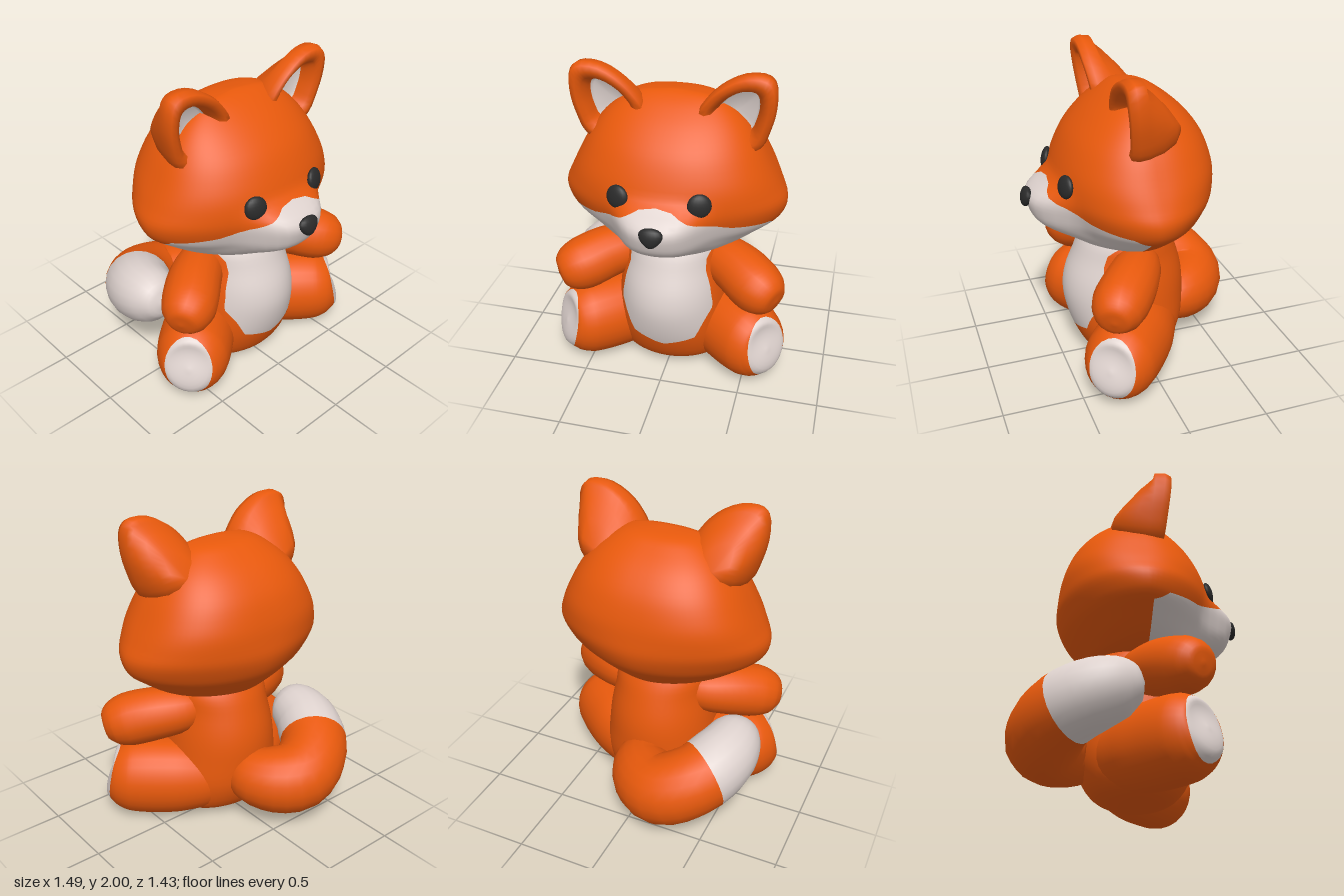
import * as THREE from 'three';
import { mergeVertices } from 'three/addons/utils/BufferGeometryUtils.js';

const V = (x, y, z = 0) => new THREE.Vector3(x, y, z);
const material = (name, color) => Object.assign(new THREE.MeshStandardMaterial({ color }), { name });

// Smooth closed-ring surface from point(u, v); side = -1 mirrors it across x.
function surface(rows, cols, side, point) {
  const pos = [], idx = [];
  for (let i = 0; i <= rows; i++) {
    for (let j = 0; j < cols; j++) {
      const p = point(i / rows, j / cols);
      pos.push(p.x * side, p.y, p.z);
      if (i === rows) continue;
      const a = i * cols + j, b = i * cols + (j + 1) % cols, c = a + cols, d = b + cols;
      if (side > 0) idx.push(a, b, c, b, d, c);
      else idx.push(a, c, b, b, c, d);
    }
  }
  let geo = new THREE.BufferGeometry();
  geo.setAttribute('position', new THREE.Float32BufferAttribute(pos, 3));
  geo.setIndex(idx);
  geo = mergeVertices(geo, 1e-4);
  geo.computeVertexNormals();
  return geo;
}

// Cuts a surface along f = 0, keeping smooth normals; returns [f > 0 part, f < 0 part].
function split(geometry, f) {
  const g = geometry.toNonIndexed(), P = g.attributes.position, N = g.attributes.normal;
  return [1, -1].map((sign) => {
    const pos = [], nor = [];
    for (let t = 0; t < P.count; t += 3) {
      const tri = [0, 1, 2].map((k) => {
        const p = V().fromBufferAttribute(P, t + k);
        return { p, n: V().fromBufferAttribute(N, t + k), d: sign * f(p) };
      });
      const poly = [];
      tri.forEach((a, k) => {
        const b = tri[(k + 1) % 3];
        if (a.d >= 0) poly.push(a);
        if ((a.d >= 0) !== (b.d >= 0)) {
          const s = a.d / (a.d - b.d);
          poly.push({ p: a.p.clone().lerp(b.p, s), n: a.n.clone().lerp(b.n, s).normalize() });
        }
      });
      for (let k = 1; k + 1 < poly.length; k++) {
        for (const q of [poly[0], poly[k], poly[k + 1]]) { pos.push(...q.p); nor.push(...q.n); }
      }
    }
    const out = new THREE.BufferGeometry();
    out.setAttribute('position', new THREE.Float32BufferAttribute(pos, 3));
    out.setAttribute('normal', new THREE.Float32BufferAttribute(nor, 3));
    return out;
  });
}

// Upright shell from rows of [y, half width, back z, front z]; powers(y) gives [front, back] roundness.
function shell(table, rows, cols, powers, bulge = () => 0) {
  const zc = 0.06;
  const wide = new THREE.CatmullRomCurve3(table.map((r) => V(r[1], r[0], r[2])), false, 'catmullrom');
  const deep = new THREE.CatmullRomCurve3(table.map((r) => V(r[3], r[0])), false, 'catmullrom');
  return surface(rows, cols, 1, (u, v) => {
    const a = v * Math.PI * 2, c = Math.cos(a), s = Math.sin(a);
    const w = wide.getPoint(u), front = deep.getPoint(u).x;
    const e = 2 / powers(w.y)[c > 0 ? 0 : 1];
    const x = w.x * Math.sign(s) * Math.abs(s) ** e;
    const reach = Math.abs(c) ** e;
    const z = c > 0 ? zc + (front - zc) * reach + bulge(x, w.y) * Math.min(1, c * 2) : zc + (w.z - zc) * reach;
    return V(x, w.y, z);
  });
}

// Rounded limb through rows of [x, y, z, radius].
function limb(table, rows, cols, side = 1, tall = 1) {
  const path = new THREE.CatmullRomCurve3(table.map((r) => V(r[0], r[1], r[2])));
  const radius = new THREE.SplineCurve(table.map((r) => new THREE.Vector2(r[3], 0)));
  return surface(rows, cols, side, (u, v) => {
    const t = path.getTangent(u), s = V(0, 1, 0).cross(t).normalize(), b = t.clone().cross(s);
    const r = Math.max(0, radius.getPoint(u).x), a = v * Math.PI * 2;
    return path.getPoint(u).addScaledVector(s, r * Math.cos(a)).addScaledVector(b, r * tall * Math.sin(a));
  });
}

// Piecewise-linear lookup in [key, value] pairs.
function lookup(pairs, k) {
  for (let i = 1; i < pairs.length; i++) {
    const [a, va] = pairs[i - 1], [b, vb] = pairs[i];
    if (k <= b) return THREE.MathUtils.lerp(va, vb, THREE.MathUtils.clamp((k - a) / (b - a), 0, 1));
  }
  return pairs[pairs.length - 1][1];
}

export function createModel() {
  const model = new THREE.Group();
  const orange = material('orange fur', 0xe8590c);
  const white = material('pale fur', 0xded2ce);
  const black = material('dark eyes and nose', 0x2a2a2a);
  const add = (name, geo, mat) => {
    const mesh = new THREE.Mesh(geo, mat);
    mesh.name = name;
    model.add(mesh);
    return mesh;
  };
  const addTwoTone = (name, paleName, geo, f) => {
    const [pale, fur] = split(geo, f);
    add(name, fur, orange);
    add(paleName, pale, white);
  };

  // Head, fuller towards the top, with a muzzle bulge and pale lower face
  const head = shell([
    [0.855, 0, 0.06, 0.06], [0.862, 0.2, -0.08, 0.33], [0.898, 0.36, -0.21, 0.4], [0.945, 0.46, -0.27, 0.44],
    [1.02, 0.565, -0.345, 0.47], [1.1, 0.66, -0.405, 0.505], [1.2, 0.69, -0.44, 0.53], [1.3, 0.65, -0.438, 0.525],
    [1.42, 0.59, -0.42, 0.49], [1.56, 0.515, -0.37, 0.42], [1.68, 0.425, -0.28, 0.315], [1.77, 0.315, -0.17, 0.205],
    [1.82, 0.2, -0.08, 0.12], [1.84, 0, 0.06, 0.06],
  ], 52, 80, (y) => {
    const k = THREE.MathUtils.smoothstep(y, 1.1, 1.45);
    return [1.7 + 0.4 * k, 1.75 + 0.7 * k];
  }, (x, y) => 0.16 * Math.exp(-((x / 0.245) ** 4) - ((y - 1.125) / 0.16) ** 4));
  const cheekLine = [[0, 1.31], [0.1, 1.295], [0.22, 1.23], [0.4, 1.15], [0.61, 1.11], [0.75, 1.09]];
  addTwoTone('head', 'lowerFace', head, (p) => Math.min(
    p.z - 0.1, 0.615 - Math.abs(p.x), lookup(cheekLine, Math.abs(p.x)) - p.y));

  // Body with pale belly
  const body = shell([
    [0.008, 0, 0.06, 0.06], [0.018, 0.22, -0.06, 0.22], [0.08, 0.34, -0.21, 0.33], [0.25, 0.38, -0.3, 0.42],
    [0.45, 0.36, -0.315, 0.47], [0.6, 0.34, -0.305, 0.46], [0.75, 0.31, -0.265, 0.4], [0.88, 0.29, -0.215, 0.34],
    [0.95, 0.2, -0.15, 0.25], [0.96, 0, 0.06, 0.06],
  ], 36, 48, () => [2, 2]);
  const bellyEdge = [[0.2, -0.2], [0.24, 0], [0.3, 0.2], [0.42, 0.25], [0.5, 0.295], [0.65, 0.27], [0.75, 0.24], [0.82, 0.24], [0.9, 0.28]];
  addTwoTone('body', 'belly', body, (p) => Math.min(p.z - 0.05, lookup(bellyEdge, p.y) - Math.abs(p.x)));

  // Tail curling round to the right side, with a pale tip
  const tail = limb([
    [0.02, 0.34, -0.16, 0], [0.01, 0.33, -0.2, 0.15], [-0.05, 0.31, -0.37, 0.205], [-0.22, 0.32, -0.485, 0.225],
    [-0.42, 0.41, -0.415, 0.22], [-0.53, 0.49, -0.24, 0.21], [-0.56, 0.54, -0.07, 0.17], [-0.57, 0.555, 0.02, 0.1],
    [-0.57, 0.56, 0.05, 0],
  ], 32, 20);
  addTwoTone('tail', 'tailTip', tail, (p) => p.z - 0.8 * p.x + 0.35 * (p.y - 0.45));

  // Ear outline, counter-clockwise from the front
  const earEdge = new THREE.CatmullRomCurve3([
    V(0.22, 1.57), V(0.4, 1.49), V(0.525, 1.55), V(0.575, 1.67), V(0.605, 1.81), V(0.595, 1.95),
    V(0.55, 1.995), V(0.43, 1.995), V(0.3, 1.93), V(0.2, 1.83), V(0.15, 1.73),
  ], true);
  // Ear section rows of [outline scale, z]
  const earShell = [[0, -0.105], [0.4, -0.095], [0.68, -0.05], [0.88, 0.035], [0.98, 0.125], [1, 0.185],
    [0.94, 0.225], [0.8, 0.23], [0.65, 0.21], [0.55, 0.15], [0.52, 0.1]];
  const earInside = [[0.54, 0.125], [0.48, 0.1], [0, 0.085]];
  const ear = (rows, side) => surface(rows.length - 1, 28, side, (u, v) => {
    const [s, z] = rows[Math.round(u * (rows.length - 1))];
    const p = V(0.38, 1.75 - 0.06 * (1 - s) * (z < 0.05 ? 1 : 0)).lerp(earEdge.getPoint(v), s);
    // The back thins towards the tip and the front leans back towards the base
    const thin = z < 0.08 ? 0.6 * THREE.MathUtils.clamp((p.y - 1.7) / 0.3, 0, 1) : 0;
    return p.setZ(z + (0.2 - z) * thin + 0.12 * Math.min(0, p.y - 1.9));
  });

  for (const side of [1, -1]) {
    const label = side > 0 ? 'left' : 'right';
    add(label + 'Ear', ear(earShell, side), orange);
    add(label + 'InnerEar', ear(earInside, side), white);

    // Arm
    add(label + 'Arm', limb([
      [0.13, 0.76, 0.02, 0], [0.17, 0.76, 0.03, 0.1], [0.28, 0.745, 0.07, 0.145], [0.43, 0.72, 0.17, 0.168],
      [0.56, 0.68, 0.275, 0.17], [0.64, 0.655, 0.325, 0.14], [0.685, 0.64, 0.35, 0.085], [0.695, 0.637, 0.356, 0],
    ], 28, 18, side), orange);

    // Leg with an upright oval pale sole
    const leg = limb([
      [0.02, 0.25, -0.15, 0], [0.11, 0.255, -0.08, 0.16], [0.27, 0.265, 0.045, 0.222], [0.42, 0.265, 0.17, 0.235],
      [0.55, 0.265, 0.28, 0.225], [0.615, 0.27, 0.335, 0.19], [0.65, 0.275, 0.365, 0.135], [0.661, 0.28, 0.374, 0],
    ], 42, 28, side, 1.1);
    addTwoTone(label + 'Leg', label + 'Sole', leg, (p) => {
      const across = (0.66 * Math.abs(p.x) - 0.75 * p.z - 0.16) / 0.148, up = (p.y - 0.283) / 0.197;
      return Math.min(0.75 * Math.abs(p.x) + 0.66 * p.z - 0.5, 1 - Math.hypot(across, up));
    });

    // Eye
    const eye = add(label + 'Eye', new THREE.SphereGeometry(1, 18, 12), black);
    eye.scale.set(0.07, 0.07, 0.03);
    eye.position.set(0.24 * side, 1.325, 0.497);
    eye.rotation.set(-0.2, 0.3 * side, 0);
  }

  // Nose, tapered towards the bottom
  const nose = new THREE.SphereGeometry(1, 18, 12);
  const p = nose.attributes.position;
  for (let i = 0; i < p.count; i++) p.setX(i, p.getX(i) * (1 + 0.35 * p.getY(i)));
  nose.scale(0.067, 0.06, 0.034);
  nose.computeVertexNormals();
  const noseMesh = add('nose', nose, black);
  noseMesh.position.set(0.004, 1.19, 0.683);
  noseMesh.rotation.x = -0.2;

  return model;
}
